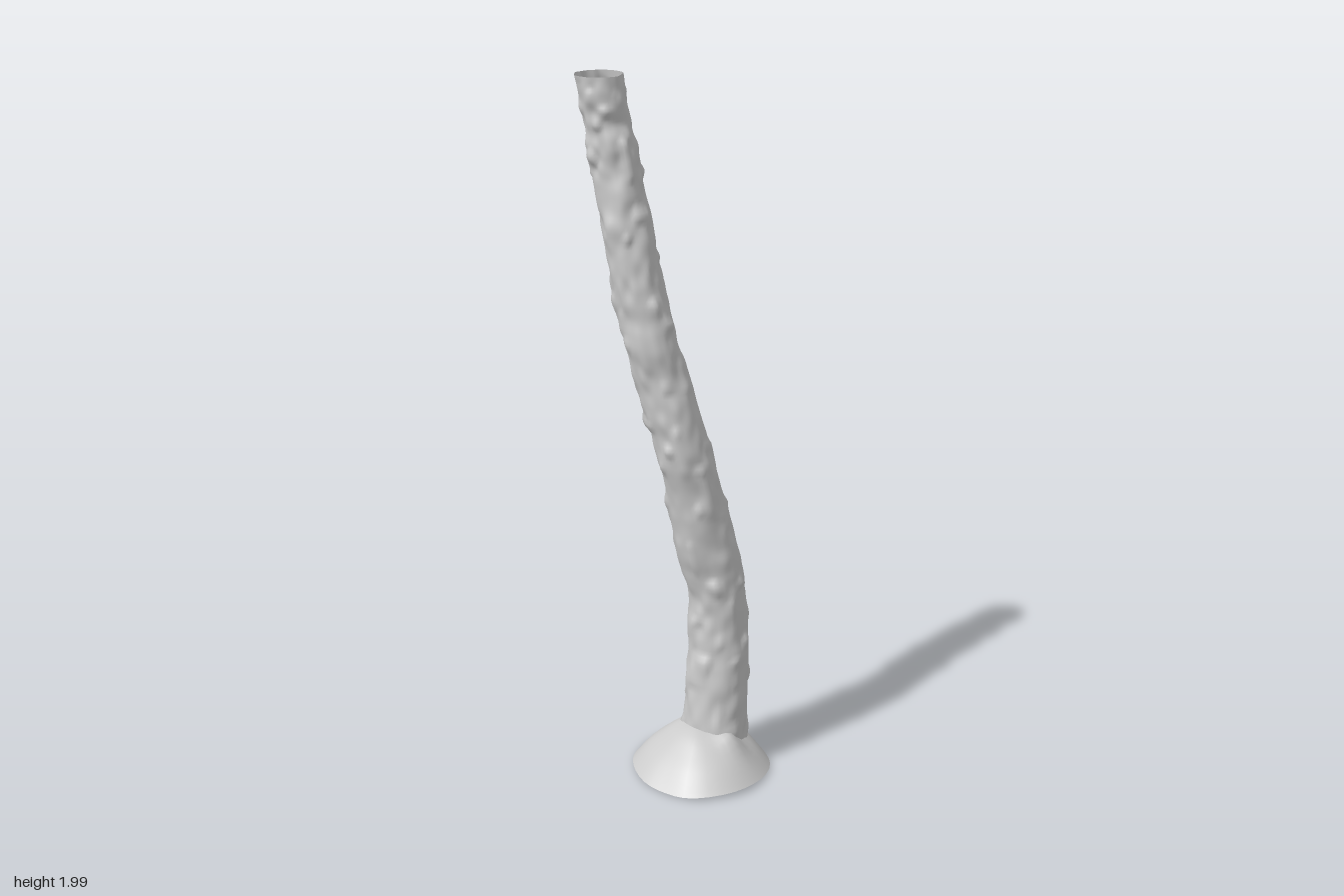
import * as THREE from 'three';
import { mergeVertices } from 'three/addons/utils/BufferGeometryUtils.js';

const material = new THREE.MeshStandardMaterial({ color: 0xcccccc, side: THREE.DoubleSide });

// Seeded lattice value noise; wraps around the trunk every `wrap` cells.
function hash(i, j) {
  const s = Math.sin(i * 127.1 + j * 311.7) * 43758.5453;
  return s - Math.floor(s);
}
function noise(u, v, wrap) {
  const i = Math.floor(u), j = Math.floor(v);
  const ease = (t) => t * t * (3 - 2 * t);
  const a = ease(u - i), b = ease(v - j);
  const at = (p, q) => hash(((p % wrap) + wrap) % wrap, q);
  const low = at(i, j) * (1 - a) + at(i + 1, j) * a;
  const high = at(i, j + 1) * (1 - a) + at(i + 1, j + 1) * a;
  return (low * (1 - b) + high * b) * 2 - 1;
}

// Removes seams so that the normals run smoothly round the form.
function smooth(geometry) {
  geometry.deleteAttribute('uv');
  geometry.deleteAttribute('normal');
  const merged = mergeVertices(geometry, 1e-5);
  merged.computeVertexNormals();
  return merged;
}

// Leaning, tapering open tube of knobbly bark.
function makeTrunk() {
  // centre x, height, centre z, radius
  const stations = [
    [0.085, 0.05, 0.01, 0.092], [0.1, 0.3, 0, 0.088], [0.1, 0.5, -0.006, 0.085],
    [0.06, 0.7, -0.013, 0.082], [0.013, 0.9, -0.018, 0.079], [-0.035, 1.1, -0.042, 0.075],
    [-0.08, 1.3, -0.075, 0.073], [-0.113, 1.5, -0.105, 0.071], [-0.13, 1.7, -0.137, 0.067],
    [-0.15, 1.85, -0.157, 0.064], [-0.172, 2, -0.167, 0.063],
  ];
  const path = new THREE.CatmullRomCurve3(stations.map(([x, y, z]) => new THREE.Vector3(x, y, z)));
  const geometry = new THREE.CylinderGeometry(1, 1, 1, 56, 190, true);
  const position = geometry.attributes.position;
  const centre = new THREE.Vector3();
  for (let i = 0; i < position.count; i++) {
    const t = THREE.MathUtils.clamp(position.getY(i) + 0.5, 0, 1);
    const angle = Math.atan2(position.getZ(i), position.getX(i)) + Math.PI;
    const k = t * (stations.length - 1);
    const s = Math.min(Math.floor(k), stations.length - 2);
    const radius = THREE.MathUtils.lerp(stations[s][3], stations[s + 1][3], k - s);
    path.getPoint(t, centre);
    // Long plates, small ridges and occasional raised knobs.
    const turn = angle / (Math.PI * 2);
    const plates = noise(turn * 9, t * 24, 9);
    const ridges = noise(turn * 20 + 40, t * 48 + 70, 20);
    const knobs = Math.max(0, noise(turn * 12, t * 34 + 200, 12) - 0.5);
    const fade = 1 - 0.5 * THREE.MathUtils.smoothstep(t, 0.93, 1);
    const r = radius + fade * (0.006 * plates + 0.004 * ridges + 0.022 * knobs);
    position.setXYZ(i, centre.x + r * Math.cos(angle), centre.y, centre.z + r * Math.sin(angle));
  }
  const mesh = new THREE.Mesh(smooth(geometry), material);
  mesh.name = 'trunk';
  return mesh;
}

// Hollow mound of earth with an uneven outline.
function makeMound() {
  const outline = [
    [0.235, 0.03], [0.2, 0.125], [0.11, 0.205], [0, 0.23], [-0.11, 0.185], [-0.155, 0.1],
    [-0.17, 0.02], [-0.14, -0.08], [-0.08, -0.15], [0.03, -0.197], [0.11, -0.185],
    [0.2, -0.1], [0.235, -0.04],
  ];
  const rim = new THREE.CatmullRomCurve3(outline.map(([x, z]) => new THREE.Vector3(x, 0, z)), true);
  // fraction of the rim distance, height
  const profile = new THREE.SplineCurve([
    [0, 0.138], [0.2, 0.136], [0.4, 0.122], [0.6, 0.092], [0.8, 0.058], [1, 0.012],
  ].map(([f, y]) => new THREE.Vector2(f, y)));
  const around = 40, rings = 14;
  const geometry = new THREE.PlaneGeometry(1, 1, around, rings);
  const position = geometry.attributes.position;
  const point = new THREE.Vector3();
  const peak = { x: 0.04, z: 0.01 };
  for (let i = 0; i < position.count; i++) {
    const column = i % (around + 1), row = Math.floor(i / (around + 1));
    rim.getPoint((column % around) / around, point);
    const p = profile.getPoint(row / rings);
    const x = peak.x + (point.x - peak.x) * p.x;
    const z = peak.z + (point.z - peak.z) * p.x;
    // A swelling at the front foot of the trunk, and a slightly wavy surface and rim.
    const bump = 0.03 * Math.exp(-((x - 0.07) ** 2 + (z - 0.12) ** 2) / 0.0012);
    const wave = 0.006 * p.x * Math.sin((column / around) * Math.PI * 6 + p.x * 4);
    position.setXYZ(i, x, Math.max(0, p.y + bump + wave), z);
  }
  // Reverse the winding so the outside faces up.
  const index = geometry.index;
  for (let i = 0; i < index.count; i += 3) {
    const b = index.getX(i + 1);
    index.setX(i + 1, index.getX(i + 2));
    index.setX(i + 2, b);
  }
  const merged = smooth(geometry);
  if (merged.attributes.normal.getY(0) < 0) {
    merged.index.array.reverse();
    merged.computeVertexNormals();
  }
  const mesh = new THREE.Mesh(merged, material);
  mesh.name = 'mound';
  return mesh;
}

export function createModel() {
  const group = new THREE.Group();
  group.name = 'treeTrunk';
  const trunk = makeTrunk();
  // The angle runs against the cylinder's own order, so check the outside faces out.
  const normal = trunk.geometry.attributes.normal, position = trunk.geometry.attributes.position;
  const top = new THREE.Box3();
  for (let i = 0; i < 56; i++) top.expandByPoint(new THREE.Vector3().fromBufferAttribute(position, i));
  const centre = top.getCenter(new THREE.Vector3());
  const outward = (position.getX(0) - centre.x) * normal.getX(0) + (position.getZ(0) - centre.z) * normal.getZ(0);
  if (outward < 0) {
    trunk.geometry.index.array.reverse();
    trunk.geometry.computeVertexNormals();
  }
  group.add(trunk, makeMound());
  return group;
}
